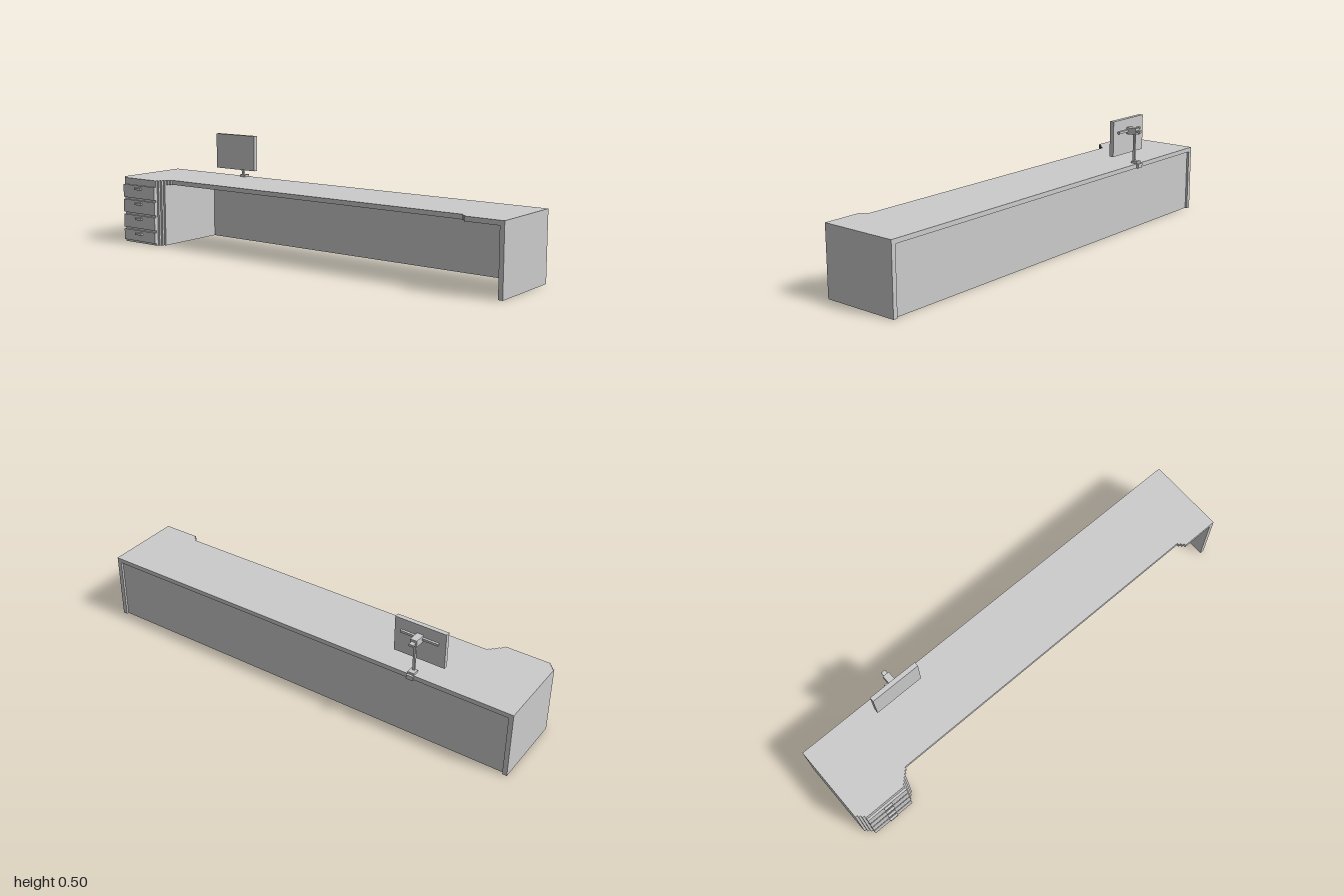
import * as THREE from 'three';

const material = new THREE.MeshStandardMaterial({ color: 0xcccccc, flatShading: true });

export function createModel() {
  const model = new THREE.Group();
  model.name = 'deskWithMonitor';

  // Box given by its lower and upper limits on each axis
  function box(name, [x0, x1], [y0, y1], [z0, z1], parent = model) {
    const mesh = new THREE.Mesh(new THREE.BoxGeometry(x1 - x0, y1 - y0, z1 - z0), material);
    mesh.position.set((x0 + x1) / 2, (y0 + y1) / 2, (z0 + z1) / 2);
    mesh.name = name;
    parent.add(mesh);
  }

  // Plan outline of [x, z] points raised from y0 to y1
  function slab(name, outline, y0, y1) {
    const shape = new THREE.Shape(outline.map(([x, z]) => new THREE.Vector2(x, -z)));
    const geometry = new THREE.ExtrudeGeometry(shape, { depth: y1 - y0, bevelEnabled: false });
    geometry.rotateX(-Math.PI / 2);
    const mesh = new THREE.Mesh(geometry, material);
    mesh.position.y = y0;
    mesh.name = name;
    model.add(mesh);
  }

  // Staircase of small square steps, x always rising, z rising or falling
  function steps(x, z, count, dir) {
    const s = 0.01, points = [[x, z]];
    for (let i = 0; i < count; i++) {
      if (dir > 0) points.push([x + s, z], [x + s, z + s]);
      else points.push([x, z - s], [x + s, z - s]);
      x += s;
      z += dir * s;
    }
    return points;
  }

  const back = -0.195, front = 0.185, topY = 0.3, underY = 0.28;

  // Worktop with stepped corners
  slab('worktop', [
    [-1, back],
    ...steps(-1, 0.155, 3, 1),
    ...steps(-0.77, front, 6, -1),
    ...steps(0.8, 0.125, 3, 1),
    [1, 0.155], [1, back],
  ], underY, topY);

  // Drawer cabinet, end panels and recessed back panel
  slab('drawerCabinet', [
    [-1, -0.175],
    ...steps(-1, 0.155, 3, 1),
    ...steps(-0.77, front, 3, -1),
    [-0.74, -0.175],
  ], 0, underY);
  box('cabinetBackEdge', [-1, -0.98], [0, underY], [back, -0.175]);
  box('endPanel', [0.98, 1], [0, underY], [back, 0.155]);
  box('backPanel', [-0.98, 0.98], [0, underY], [-0.185, -0.175]);

  // Drawers and pulls
  for (let i = 0; i < 4; i++) {
    const y = 0.07 * i;
    box('drawerFront', [-0.97, -0.77], [i ? y : 0.01, y + 0.06], [front, 0.195]);
    box('drawerHandle', [-0.89, -0.85], [y + 0.04, y + 0.05], [0.195, 0.205]);
  }

  // Monitor on a clamped post
  const monitor = new THREE.Group();
  monitor.name = 'monitor';
  model.add(monitor);
  box('screen', [-0.665, -0.435], [0.34, 0.5], [-0.135, -0.115], monitor);
  box('mountBar', [-0.635, -0.465], [0.44, 0.45], [-0.145, -0.135], monitor);
  box('mountArm', [-0.565, -0.535], [0.43, 0.46], [-0.185, -0.135], monitor);
  box('armKnob', [-0.56, -0.54], [0.44, 0.45], [-0.205, -0.185], monitor);
  box('post', [-0.555, -0.545], [0.31, 0.43], [-0.175, -0.165], monitor);
  box('postBase', [-0.565, -0.535], [0.3, 0.31], [-0.195, -0.165], monitor);
  box('clamp', [-0.565, -0.535], [0.28, 0.3], [-0.205, -0.195], monitor);

  return model;
}
